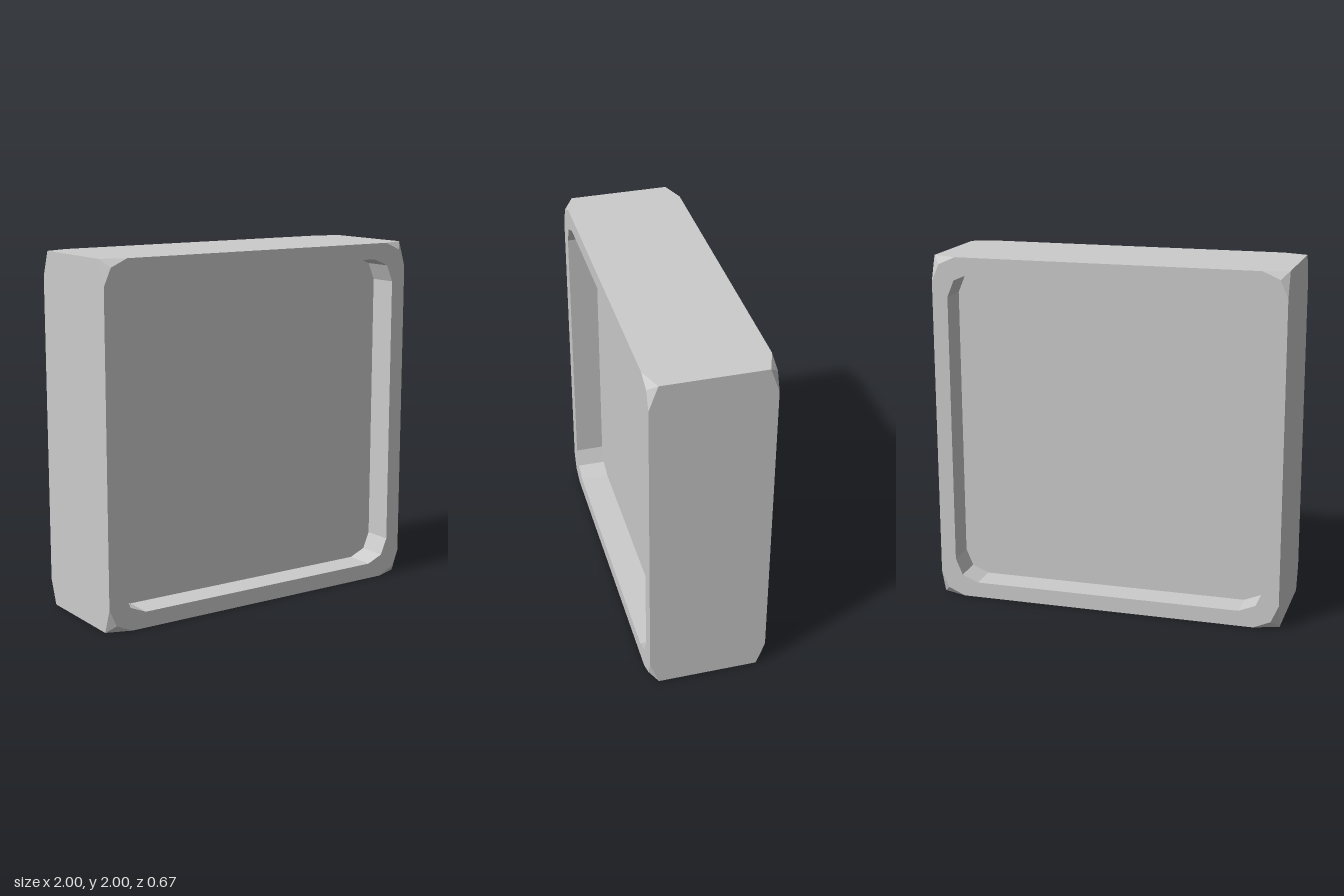
import * as THREE from 'three';
import { mergeGeometries } from 'three/addons/utils/BufferGeometryUtils.js';

const D = 0.333;      // half depth of the block
const FLOOR = 0.166;  // depth position of the recessed panel
const v = (x, y, z) => new THREE.Vector3(x, y, z);

// Flat-shaded geometry from convex polygons, each given counter-clockwise
function fromPolygons(polygons) {
  const points = [];
  for (const p of polygons)
    for (let i = 1; i < p.length - 1; i++) points.push(p[0], p[i], p[i + 1]);
  const geometry = new THREE.BufferGeometry().setFromPoints(points);
  geometry.computeVertexNormals();
  return geometry;
}

// Repeat a quarter around the z axis, on the front and the back
function repeatAround(polygons) {
  const copies = [];
  for (const turn of [0, Math.PI])
    for (let k = 0; k < 4; k++)
      copies.push(fromPolygons(polygons).rotateZ(k * Math.PI / 2).rotateY(turn));
  return mergeGeometries(copies);
}

// One edge and one bevelled corner of a rounded square outline
const outline = (half, mid, end, z) =>
  [v(-end, half, z), v(end, half, z), v(mid, mid, z), v(half, end, z)];

// Quads joining two outlines
const band = (a, b) => [0, 1, 2].map(i => [a[i], b[i], b[i + 1], a[i + 1]]);

export function createModel() {
  const group = new THREE.Group();
  const material = new THREE.MeshStandardMaterial({ color: 0xcccccc, flatShading: true });
  const add = (name, polygons) => {
    const mesh = new THREE.Mesh(repeatAround(polygons), material);
    mesh.name = name;
    mesh.position.y = 1;
    group.add(mesh);
  };

  const outer = outline(1, 0.957, 0.86, D);
  const inner = outline(0.91, 0.87, 0.775, D);
  const floor = outline(0.91, 0.87, 0.775, FLOOR);
  const tip = v(1, 1, 0.283);

  // Outer sides, with the square edges clipped into the rounded rim
  add('outerSides', [
    [v(-1, 1, 0), v(-1, 1, 0.283), outer[0], outer[1], tip, v(1, 1, 0)],
  ]);
  add('cornerBevels', [
    [outer[1], outer[2], tip],
    [outer[2], outer[3], tip],
  ]);

  // Raised rim, recess walls and recessed panel on both faces
  add('rim', band(outer, inner));
  add('recessWalls', band(inner, floor));
  const centre = v(0, 0, FLOOR);
  add('recessedPanel', [0, 1, 2].map(i => [centre, floor[i + 1], floor[i]]));

  return group;
}
